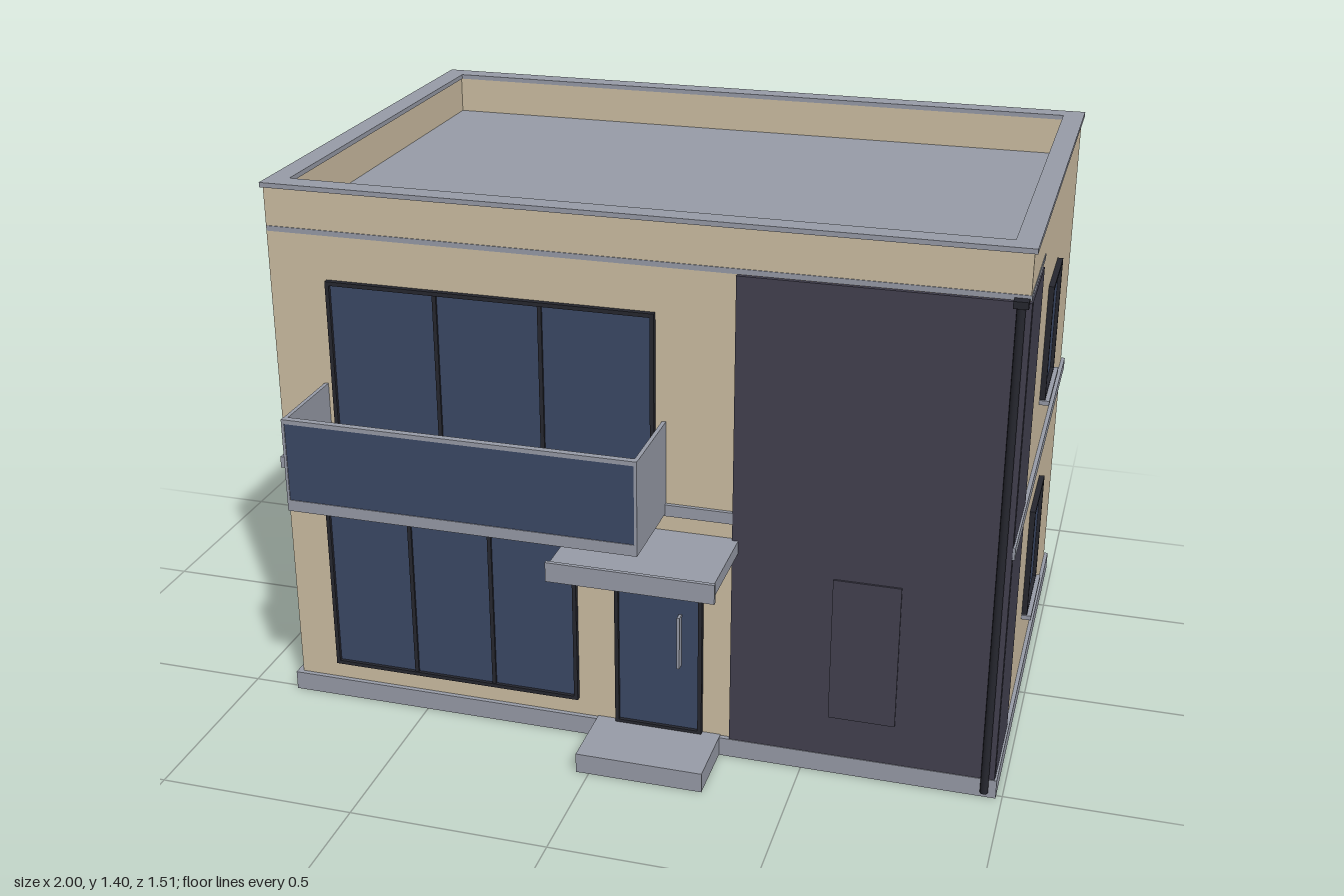
import * as THREE from 'three';

const mat = (name, color) => {
  const m = new THREE.MeshStandardMaterial({ color });
  m.name = name;
  return m;
};

export function createModel() {
  const house = new THREE.Group();
  house.name = 'house';

  const wall = mat('beige render', 0xcebfa3);
  const concrete = mat('grey concrete', 0x989ca8);
  const cladding = mat('dark cladding', 0x434150);
  const frame = mat('near black frame', 0x26272f);
  const glass = mat('blue glass', 0x3c4966);

  // Box given by its lower and upper limits on each axis
  const box = (name, material, [x0, x1], [y0, y1], [z0, z1], parent = house) => {
    const mesh = new THREE.Mesh(new THREE.BoxGeometry(x1 - x0, y1 - y0, z1 - z0), material);
    mesh.position.set((x0 + x1) / 2, (y0 + y1) / 2, (z0 + z1) / 2);
    mesh.name = name;
    parent.add(mesh);
  };

  // Rectangular ring of wall thickness t
  const ring = (name, material, [x0, x1], [y0, y1], [z0, z1], t) => {
    const rect = (Type, a, b, c, d) => new Type([[a, c], [b, c], [b, d], [a, d]].map(p => new THREE.Vector2(...p)));
    const shape = rect(THREE.Shape, x0, x1, -z1, -z0);
    shape.holes.push(rect(THREE.Path, x0 + t, x1 - t, -z1 + t, -z0 - t));
    const mesh = new THREE.Mesh(new THREE.ExtrudeGeometry(shape, { depth: y1 - y0, bevelEnabled: false }), material);
    mesh.rotation.x = -Math.PI / 2;
    mesh.position.y = y0;
    mesh.name = name;
    house.add(mesh);
  };

  const X = [-0.86, 0.975], Z = [-0.725, 0.5];

  // Plinth skirt, open below, with the ground floor slab recessed in it
  ring('plinth', concrete, [-0.875, 0.985], [0, 0.05], [-0.737, 0.513], 0.012);
  box('groundSlab', concrete, [-0.87, 0.98], [0.044, 0.0495], [-0.732, 0.508]);

  // Body and floor band
  box('walls', wall, X, [0.049, 1.281], Z);
  box('floorBand', concrete, [-0.87, 0.985], [0.65, 0.68], [-0.735, 0.51]);

  // Roof slab with its thin edge showing on the facades
  box('roofSlab', concrete, [-0.858, 0.973], [1.279, 1.292], [-0.727, 0.502]);
  box('roofSlabEdge', concrete, [0.97, 0.977], [1.28, 1.292], [0.2, 0.502]);
  ring('parapet', wall, X, [1.28, 1.39], Z, 0.043);
  ring('coping', concrete, [-0.867, 0.982], [1.388, 1.4], [-0.732, 0.505], 0.054);

  // Dark corner cladding with a flush service door
  box('frontCladding', cladding, [0.315, 0.979], [0.05, 1.278], [0.49, 0.511]);
  box('sideCladding', cladding, [0.96, 0.98], [0.05, 1.278], [0.255, 0.5]);
  box('serviceDoor', cladding, [0.565, 0.73], [0.16, 0.54], [0.505, 0.516]);

  // Window in its own plane: outer bars, mullions and pane, facing +z
  const makeWindow = (name, w, h, mullions = [], sill = false) => {
    const g = new THREE.Group();
    g.name = name;
    const t = 0.01;
    box('pane', glass, [-w / 2 + 0.004, w / 2 - 0.004], [0.004, h - 0.004], [-0.005, 0.005], g);
    for (const s of [-1, 1]) {
      const e = s * (w - t) / 2;
      box('frameSide', frame, [e - t / 2, e + t / 2], [0, h], [-0.005, 0.014], g);
    }
    for (const y of [0, h - t]) box('frameRail', frame, [-w / 2, w / 2], [y, y + t], [-0.005, 0.014], g);
    for (const m of mullions) box('mullion', frame, [m - 0.005, m + 0.005], [0, h], [-0.005, 0.011], g);
    if (sill) box('sill', concrete, [-w / 2 - 0.005, w / 2 + 0.005], [-0.006, 0.006], [-0.005, 0.025], g);
    house.add(g);
    return g;
  };

  // Large front windows
  makeWindow('groundFrontWindow', 0.67, 0.456, [-0.108, 0.107]).position.set(-0.418, 0.097, 0.5);
  makeWindow('upperFrontWindow', 0.83, 0.487, [-0.133, 0.133]).position.set(-0.294, 0.68, 0.5);

  // Small windows on the sides and back, both storeys
  for (const y of [0.23, 0.84]) {
    for (const s of [-1, 1]) {
      const side = makeWindow('sideWindow', 0.23, 0.305, [], true);
      side.position.set(s > 0 ? X[1] : X[0], y, -0.112);
      side.rotation.y = s * Math.PI / 2;
    }
    for (const x of [-0.253, 0.36]) {
      const back = makeWindow('backWindow', 0.23, 0.305, [], true);
      back.position.set(x, y, Z[0]);
      back.rotation.y = Math.PI;
    }
  }

  // Entrance: glazed door with transom and handle, and a bell
  const door = makeWindow('frontDoor', 0.226, 0.488);
  door.position.set(0.13, 0.05, 0.5);
  box('transom', frame, [-0.11, 0.11], [0.41, 0.42], [0, 0.012], door);
  box('doorHandle', concrete, [0.052, 0.059], [0.19, 0.333], [0.004, 0.027], door);
  box('doorBell', wall, [-0.038, -0.011], [0.445, 0.484], [0.495, 0.515]);

  // Hollow front step
  box('stepTop', concrete, [-0.033, 0.29], [0.044, 0.052], [0.5, 0.685]);
  for (const x of [-0.033, 0.28]) box('stepSide', concrete, [x, x + 0.01], [0, 0.05], [0.51, 0.685]);
  box('stepFront', concrete, [-0.033, 0.29], [0, 0.05], [0.675, 0.685]);

  // Canopy over the door
  box('canopy', concrete, [-0.07, 0.33], [0.574, 0.608], [0.5, 0.747]);
  box('canopyLip', concrete, [-0.075, 0.335], [0.565, 0.615], [0.745, 0.755]);

  // Balcony: floor, solid cheeks, glazed front and rails
  box('balconyFloor', concrete, [-0.735, 0.147], [0.655, 0.684], [0.5, 0.742]);
  for (const x of [-0.735, 0.137]) box('balconyCheek', concrete, [x, x + 0.01], [0.68, 0.894], [0.5, 0.738]);
  box('balconyGlass', glass, [-0.73, 0.142], [0.68, 0.89], [0.729, 0.74]);
  box('balconyRail', concrete, [-0.735, 0.147], [0.884, 0.895], [0.725, 0.742]);
  for (const x of [-0.735, 0.14]) box('balconyPost', concrete, [x, x + 0.007], [0.68, 0.895], [0.725, 0.742]);

  // Downpipes with hopper heads
  for (const [x, z] of [[0.956, 0.516], [-0.845, -0.742]]) {
    const pipe = new THREE.Mesh(new THREE.CylinderGeometry(0.01, 0.01, 1.26, 12), frame);
    pipe.position.set(x, 0.645, z);
    pipe.name = 'downpipe';
    house.add(pipe);
    box('pipeHopper', frame, [x - 0.017, x + 0.017], [1.268, 1.285], [z - 0.013, z + 0.013]);
  }

  // Air conditioning unit with its round fan on the outer face
  box('airConditioner', wall, [-0.997, -0.873], [0.052, 0.177], [-0.322, -0.162]);
  const fan = new THREE.Mesh(new THREE.CylinderGeometry(0.04, 0.04, 0.006, 24), frame);
  fan.rotation.z = Math.PI / 2;
  fan.position.set(-0.997, 0.114, -0.243);
  fan.name = 'fan';
  house.add(fan);

  return house;
}
